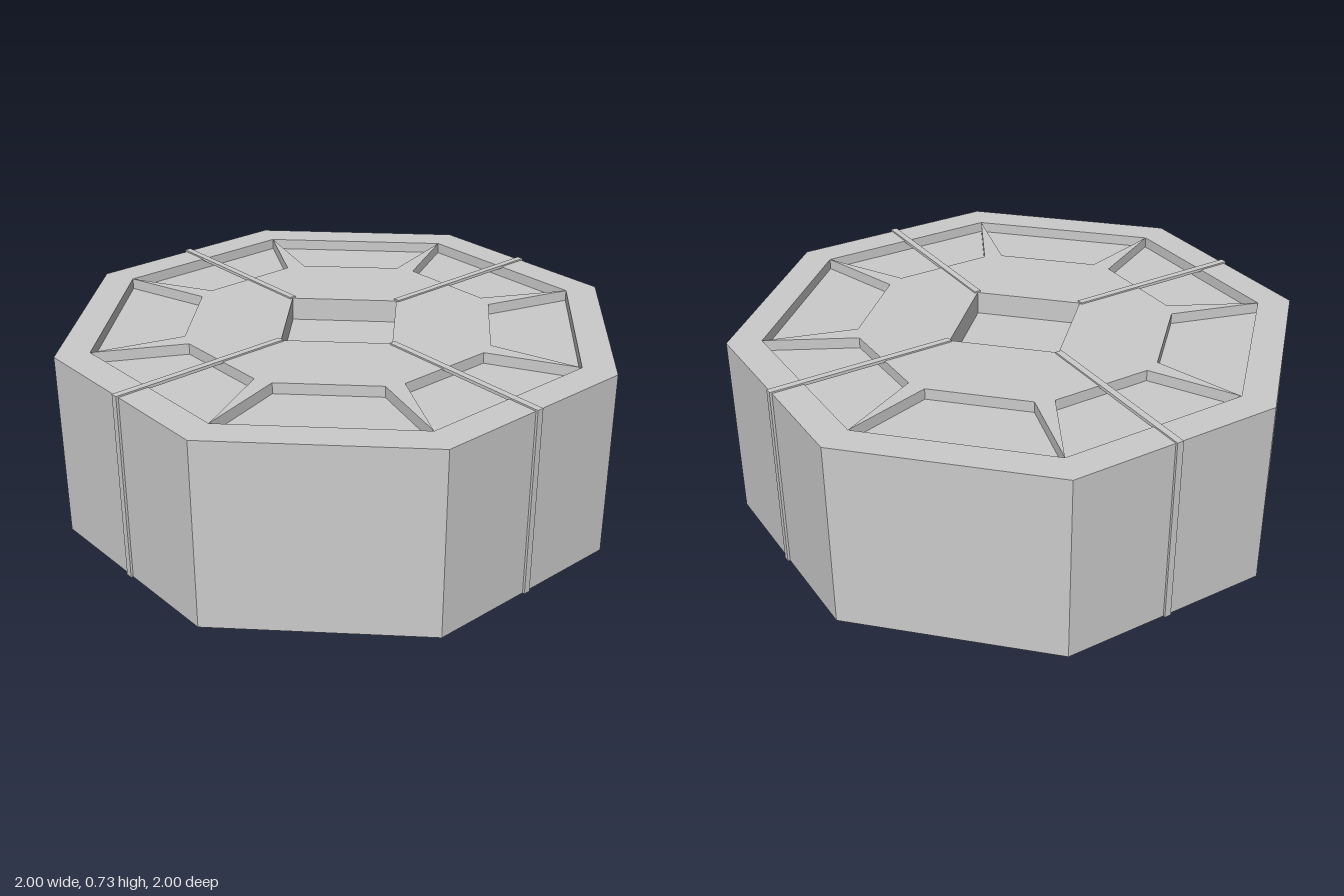
import * as THREE from 'three';

const H = 0.722;        // overall height of the top face
const DECK = 0.68;      // level of the sunken panels
const PIT = 0.205;      // half width of the central square well
const PIT_FLOOR = 0.632;
const RIB = 0.026;      // rib width

const material = new THREE.MeshStandardMaterial({
  color: 0xcccccc, flatShading: true, side: THREE.DoubleSide,
});

function mesh(name, geometry, parent) {
  const m = new THREE.Mesh(geometry, material);
  m.name = name;
  parent.add(m);
  return m;
}

// Octagon corners for a given distance from centre to side
function octagon(apothem) {
  const r = apothem / Math.cos(Math.PI / 8);
  return Array.from({ length: 8 }, (_, i) => {
    const a = Math.PI / 8 + i * Math.PI / 4;
    return new THREE.Vector2(r * Math.cos(a), r * Math.sin(a));
  });
}

const square = (s) => [[-s, -s], [s, -s], [s, s], [-s, s]].map(([x, y]) => new THREE.Vector2(x, y));

function shapeWithHole(outer, hole) {
  const shape = new THREE.Shape(outer);
  shape.holes.push(new THREE.Path(hole));
  return shape;
}

// Extrude a plan shape upward from the deck to the top face
function raised(shape) {
  return new THREE.ExtrudeGeometry(shape, { depth: H - DECK, bevelEnabled: false })
    .rotateX(-Math.PI / 2).translate(0, DECK, 0);
}

// Plate whose eight points reach the rim, leaving a trapezoid panel on each side
function starOutline() {
  const points = [];
  octagon(0.88).forEach((corner, i) => {
    points.push(corner);
    const a = (i + 1) * Math.PI / 4;
    for (const t of [-0.195, 0.195]) {
      points.push(new THREE.Vector2(0.565, t).rotateAround(new THREE.Vector2(), a));
    }
  });
  return points;
}

export function createModel() {
  const model = new THREE.Group();
  model.name = 'octagonalBlock';

  // Hollow outer wall, open underneath
  const wall = new THREE.CylinderGeometry(
    1 / Math.cos(Math.PI / 8), 1 / Math.cos(Math.PI / 8), DECK, 8, 1, true, Math.PI / 8);
  mesh('outerWall', wall.translate(0, DECK / 2, 0), model);

  // Sunken deck, raised rim and raised star plate
  const deck = new THREE.ShapeGeometry(shapeWithHole(octagon(1), square(PIT)));
  mesh('sunkenDeck', deck.rotateX(-Math.PI / 2).translate(0, DECK - 0.001, 0), model);
  mesh('topRim', raised(shapeWithHole(octagon(1), octagon(0.88))), model);
  mesh('starPlate', raised(shapeWithHole(starOutline(), square(PIT))), model);

  // Central square well
  const depth = DECK - PIT_FLOOR;
  const well = new THREE.CylinderGeometry(
    PIT * Math.SQRT2, PIT * Math.SQRT2, depth, 4, 1, true, Math.PI / 4);
  mesh('wellWalls', well.translate(0, PIT_FLOOR + depth / 2, 0), model);
  const floor = new THREE.PlaneGeometry(2 * PIT, 2 * PIT);
  mesh('wellFloor', floor.rotateX(-Math.PI / 2).translate(0, PIT_FLOOR, 0), model);

  // Diagonal ribs running over the top and down the sides
  const inner = PIT * Math.SQRT2, outer = 1.009, top = H + 0.006;
  for (let i = 0; i < 4; i++) {
    const rib = new THREE.Group();
    rib.name = 'rib' + (i + 1);
    rib.rotation.y = Math.PI / 4 + i * Math.PI / 2;
    const length = outer - inner;
    mesh('topRib', new THREE.BoxGeometry(length, 0.012, RIB)
      .translate(inner + length / 2, top - 0.006, 0), rib);
    mesh('sideRib', new THREE.BoxGeometry(0.018, top, RIB)
      .translate(outer - 0.009, top / 2, 0), rib);
    model.add(rib);
  }
  return model;
}
